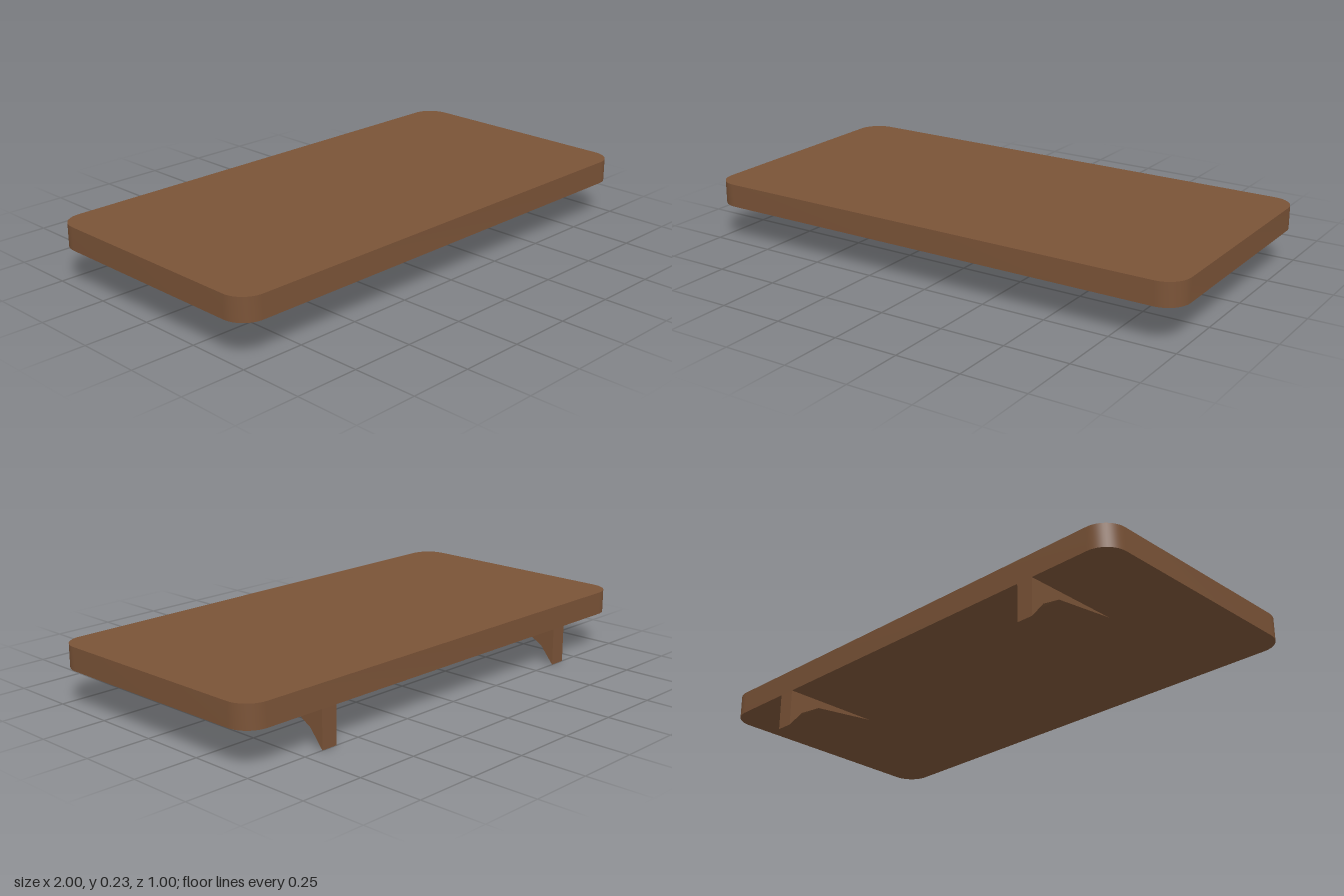
import * as THREE from 'three';
import { toCreasedNormals } from 'three/addons/utils/BufferGeometryUtils.js';

const UNDERSIDE = 0.145, TOP = 0.235;

// Rounded rectangle centred on the origin
function roundedRect(width, depth, r) {
  const x = width / 2 - r, y = depth / 2 - r;
  const shape = new THREE.Shape();
  shape.absarc(x, y, r, 0, Math.PI / 2);
  shape.absarc(-x, y, r, Math.PI / 2, Math.PI);
  shape.absarc(-x, -y, r, Math.PI, Math.PI * 1.5);
  shape.absarc(x, -y, r, Math.PI * 1.5, Math.PI * 2);
  shape.closePath();
  return shape;
}

export function createModel() {
  const model = new THREE.Group();
  model.name = 'shelf';
  const wood = new THREE.MeshStandardMaterial({ color: 0x7a5337 });
  wood.name = 'brown wood';

  // Board with smooth rounded corners
  const boardGeometry = new THREE.ExtrudeGeometry(roundedRect(2, 1, 0.09), {
    depth: TOP - UNDERSIDE, bevelEnabled: false, curveSegments: 6,
  });
  boardGeometry.rotateX(-Math.PI / 2);
  const board = new THREE.Mesh(toCreasedNormals(boardGeometry, Math.PI / 5), wood);
  board.name = 'board';
  board.position.y = UNDERSIDE;
  model.add(board);

  // Curved bracket profile: distance towards the back, height
  const profile = [[0.1, UNDERSIDE], [0.365, 0.113], [0.445, 0.066], [0.5, 0], [0.5, UNDERSIDE]];
  const width = 0.066;
  const bracketGeometry = new THREE.ExtrudeGeometry(
    new THREE.Shape(profile.map(([u, y]) => new THREE.Vector2(u, y))),
    { depth: width, bevelEnabled: false },
  );
  bracketGeometry.translate(0, 0, -width / 2).rotateY(Math.PI / 2);

  // One bracket on each side, flush with the back edge
  for (const side of [-1, 1]) {
    const bracket = new THREE.Mesh(bracketGeometry, wood);
    bracket.name = side > 0 ? 'leftBracket' : 'rightBracket';
    bracket.position.x = side * 0.637;
    model.add(bracket);
  }
  return model;
}
